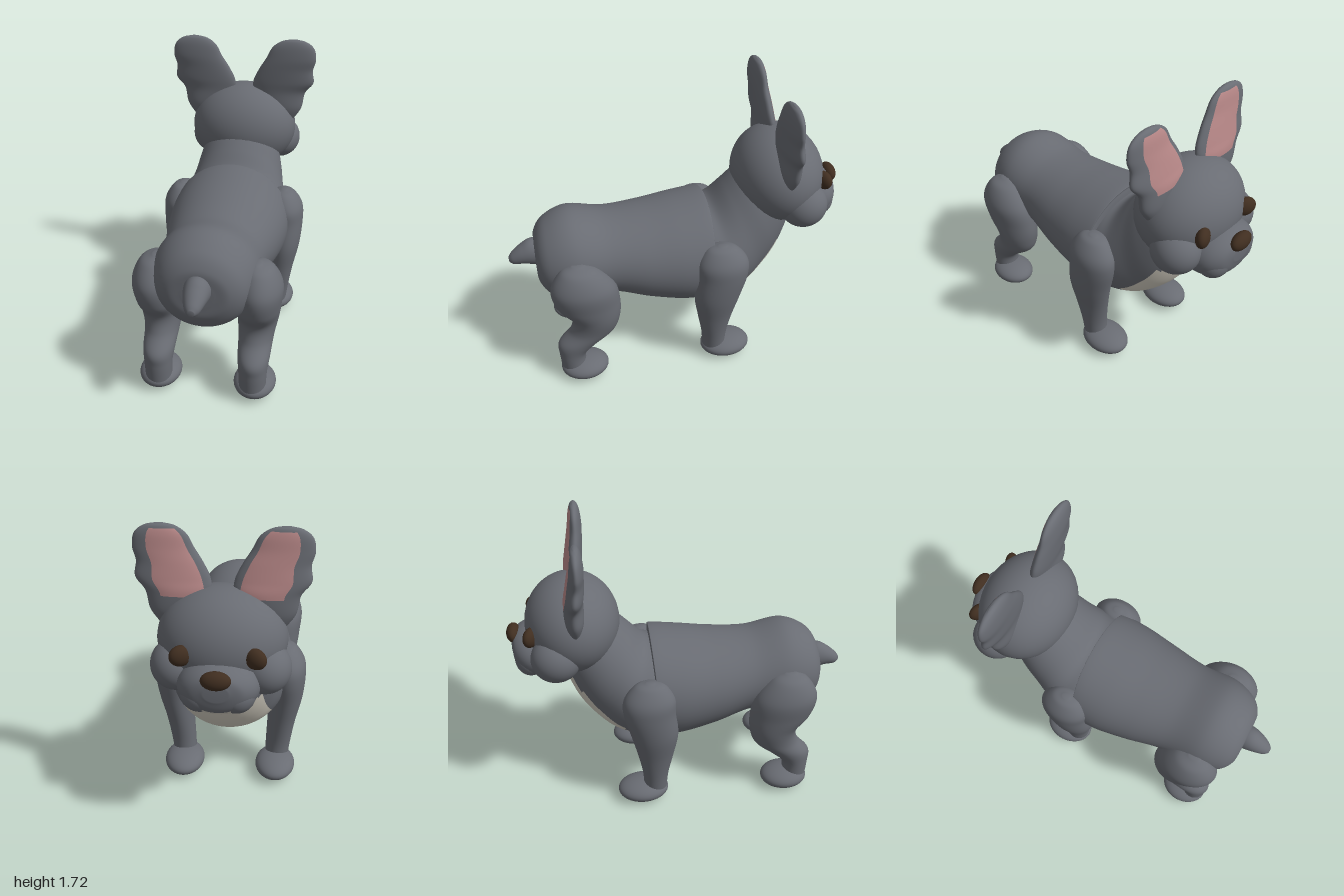
import * as THREE from 'three';

const V = (x, y, z) => new THREE.Vector3(x, y, z);
const mat = (name, color) => Object.assign(new THREE.MeshStandardMaterial({ color }), { name });

// Smooth skin over elliptical rings {c: centre, u, v: half axes}.
// paint(t, cos, sin) picks the material index of each face.
function loft(rings, paint = () => 0, segs = 48, steps = 8) {
  const curve = k => new THREE.CatmullRomCurve3(rings.map(r => r[k]), false, 'catmullrom');
  const [C, U, W] = ['c', 'u', 'v'].map(curve);
  const rows = (rings.length - 1) * steps;
  const pos = [], faces = [[], []];
  for (let i = 0; i <= rows; i++) {
    const t = i / rows, c = C.getPoint(t), u = U.getPoint(t), w = W.getPoint(t);
    for (let j = 0; j < segs; j++) {
      const a = (j / segs) * Math.PI * 2;
      pos.push(...c.clone().addScaledVector(u, Math.cos(a)).addScaledVector(w, Math.sin(a)).toArray());
    }
  }
  const first = pos.length / 3, last = first + 1;
  pos.push(...rings[0].c.toArray(), ...rings[rings.length - 1].c.toArray());

  // Orient the faces outward whatever the handedness of the rings
  const r = rings[Math.floor(rings.length / 2)];
  const along = rings[rings.length - 1].c.clone().sub(rings[0].c);
  const flip = r.u.clone().cross(r.v).dot(along) < 0;
  const tri = (m, a, b, c) => faces[m].push(...(flip ? [a, c, b] : [a, b, c]));
  for (let j = 0; j < segs; j++) {
    const k = (j + 1) % segs, a = ((j + 0.5) / segs) * Math.PI * 2;
    for (let i = 0; i < rows; i++) {
      const m = paint((i + 0.5) / rows, Math.cos(a), Math.sin(a));
      const p = i * segs, q = p + segs;
      tri(m, p + j, p + k, q + k);
      tri(m, p + j, q + k, q + j);
    }
    tri(0, first, k, j);
    tri(0, last, rows * segs + j, rows * segs + k);
  }
  const g = new THREE.BufferGeometry();
  g.setAttribute('position', new THREE.Float32BufferAttribute(pos, 3));
  g.setIndex([...faces[0], ...faces[1]]);
  g.addGroup(0, faces[0].length, 0);
  if (faces[1].length) g.addGroup(faces[0].length, faces[1].length, 1);
  g.computeVertexNormals();
  return g;
}

// Ring spanning a top and a bottom point on the centre plane
const spine = ([zt, yt, zb, yb, w]) => ({
  c: V(0, (yt + yb) / 2, (zt + zb) / 2),
  u: V(w, 0, 0),
  v: V(0, (yt - yb) / 2, (zt - zb) / 2),
});
// Horizontal ring, mirrored by side s
const level = s => ([y, x, rx, z, rz]) => ({ c: V(x * s, y, z), u: V(rx * s, 0, 0), v: V(0, 0, rz) });

export function createModel() {
  const model = new THREE.Group();
  model.name = 'dog';
  const grey = mat('grey coat', 0x696c73);
  const cream = mat('cream chest', 0xd3cec1);
  const pink = mat('pink inner ear', 0xb88888);
  const brown = mat('dark brown', 0x402e20);

  const add = (name, geometry, material) => {
    const mesh = new THREE.Mesh(geometry, material);
    mesh.name = name;
    model.add(mesh);
    return mesh;
  };
  const blob = (name, material, p, r, yaw = 0) => {
    const mesh = add(name, new THREE.SphereGeometry(1, 40, 28), material);
    mesh.position.set(...p);
    mesh.scale.set(...r);
    mesh.rotation.y = yaw;
  };

  // Torso, ending in a stepped edge at the shoulders
  add('torso', loft([
    [0.845, 0.82, 0.845, 0.68, 0.08],
    [0.835, 0.90, 0.835, 0.60, 0.17],
    [0.77, 0.98, 0.77, 0.51, 0.245],
    [0.63, 1.03, 0.63, 0.47, 0.29],
    [0.42, 0.985, 0.42, 0.49, 0.29],
    [0.20, 0.99, 0.20, 0.42, 0.33],
    [0.0, 1.015, 0.0, 0.37, 0.36],
    [-0.165, 1.035, -0.12, 0.36, 0.36],
    [-0.18, 1.02, -0.14, 0.38, 0.345],
    [-0.185, 0.94, -0.15, 0.45, 0.27],
  ].map(spine)), grey);

  // Chest and neck with the cream front
  add('neck', loft([
    [-0.05, 0.95, -0.05, 0.40, 0.30],
    [-0.15, 0.975, -0.22, 0.365, 0.335],
    [-0.22, 0.995, -0.41, 0.425, 0.325],
    [-0.30, 1.08, -0.54, 0.54, 0.29],
    [-0.38, 1.16, -0.625, 0.67, 0.265],
    [-0.45, 1.20, -0.685, 0.83, 0.23],
    [-0.50, 1.22, -0.71, 0.93, 0.18],
  ].map(spine), (t, c, s) => (t > 0.19 && s < -0.62 - 0.2 * Math.abs(t - 0.5) ? 1 : 0)), [grey, cream]);

  // Head
  blob('skull', grey, [0, 1.14, -0.62], [0.335, 0.28, 0.27]);
  add('muzzle', loft([
    [-0.60, 1.08, -0.60, 0.89, 0.13],
    [-0.70, 1.14, -0.70, 0.845, 0.19],
    [-0.80, 1.14, -0.80, 0.83, 0.21],
    [-0.89, 1.13, -0.89, 0.85, 0.195],
    [-0.95, 1.10, -0.95, 0.90, 0.14],
    [-0.972, 1.06, -0.972, 0.97, 0.06],
  ].map(spine), (t, c, s) => (t > 0.3 && t < 0.78 && s < -0.8 ? 1 : 0)), [grey, cream]);
  blob('nose', brown, [0, 1.085, -0.96], [0.075, 0.05, 0.04]);

  // Tail
  add('tail', loft([
    [0.76, 0.86, 0.78, 0.70, 0.075],
    [0.86, 0.87, 0.84, 0.70, 0.072],
    [0.92, 0.84, 0.91, 0.715, 0.06],
    [0.975, 0.795, 0.965, 0.715, 0.04],
    [0.998, 0.765, 0.995, 0.73, 0.018],
  ].map(spine)), grey);

  for (const [s, side] of [[1, 'left'], [-1, 'right']]) {
    const row = level(s);
    blob(side + 'Cheek', grey, [0.225 * s, 1.03, -0.72], [0.135, 0.135, 0.14]);
    blob(side + 'Jowl', grey, [0.09 * s, 0.96, -0.87], [0.10, 0.10, 0.09]);
    blob(side + 'Eye', brown, [0.18 * s, 1.15, -0.848], [0.062, 0.056, 0.038], s * 0.45);

    // Flat wavy ear with a pink face toward the nose
    add(side + 'Ear', loft([
      [1.20, 0.26, 0.06, -0.60, 0.03],
      [1.28, 0.245, 0.125, -0.60, 0.052],
      [1.38, 0.225, 0.165, -0.60, 0.054],
      [1.45, 0.25, 0.19, -0.59, 0.052],
      [1.53, 0.265, 0.168, -0.58, 0.047],
      [1.60, 0.295, 0.155, -0.572, 0.042],
      [1.67, 0.307, 0.13, -0.57, 0.034],
      [1.71, 0.31, 0.08, -0.57, 0.022],
      [1.725, 0.31, 0.02, -0.57, 0.006],
    ].map(row), (t, c, sn) => (t > 0.24 && t < 0.84 && sn < 0 && c > -0.78 && c < 0.5 ? 1 : 0)), [grey, pink]);

    // Front leg with shoulder
    add(side + 'FrontLeg', loft([
      [0.885, 0.32, 0.015, -0.21, 0.02],
      [0.86, 0.32, 0.065, -0.21, 0.09],
      [0.78, 0.33, 0.105, -0.215, 0.148],
      [0.68, 0.335, 0.108, -0.215, 0.152],
      [0.52, 0.33, 0.10, -0.19, 0.138],
      [0.35, 0.31, 0.085, -0.185, 0.105],
      [0.20, 0.295, 0.076, -0.187, 0.078],
      [0.07, 0.285, 0.07, -0.19, 0.07],
    ].map(row)), grey);
    blob(side + 'FrontPaw', grey, [0.28 * s, 0.07, -0.265], [0.12, 0.067, 0.155]);

    // Hind leg: thigh, knee and hock
    add(side + 'HindLeg', loft([
      [0.85, 0.27, 0.02, 0.62, 0.03],
      [0.81, 0.28, 0.085, 0.615, 0.11],
      [0.70, 0.285, 0.128, 0.60, 0.185],
      [0.57, 0.28, 0.125, 0.575, 0.185],
      [0.46, 0.275, 0.115, 0.54, 0.145],
      [0.36, 0.27, 0.10, 0.565, 0.135],
      [0.27, 0.27, 0.09, 0.655, 0.12],
      [0.19, 0.27, 0.08, 0.695, 0.083],
      [0.07, 0.27, 0.075, 0.695, 0.075],
    ].map(row)), grey);
    blob(side + 'HindPaw', grey, [0.275 * s, 0.07, 0.63], [0.12, 0.067, 0.145]);
  }
  return model;
}
